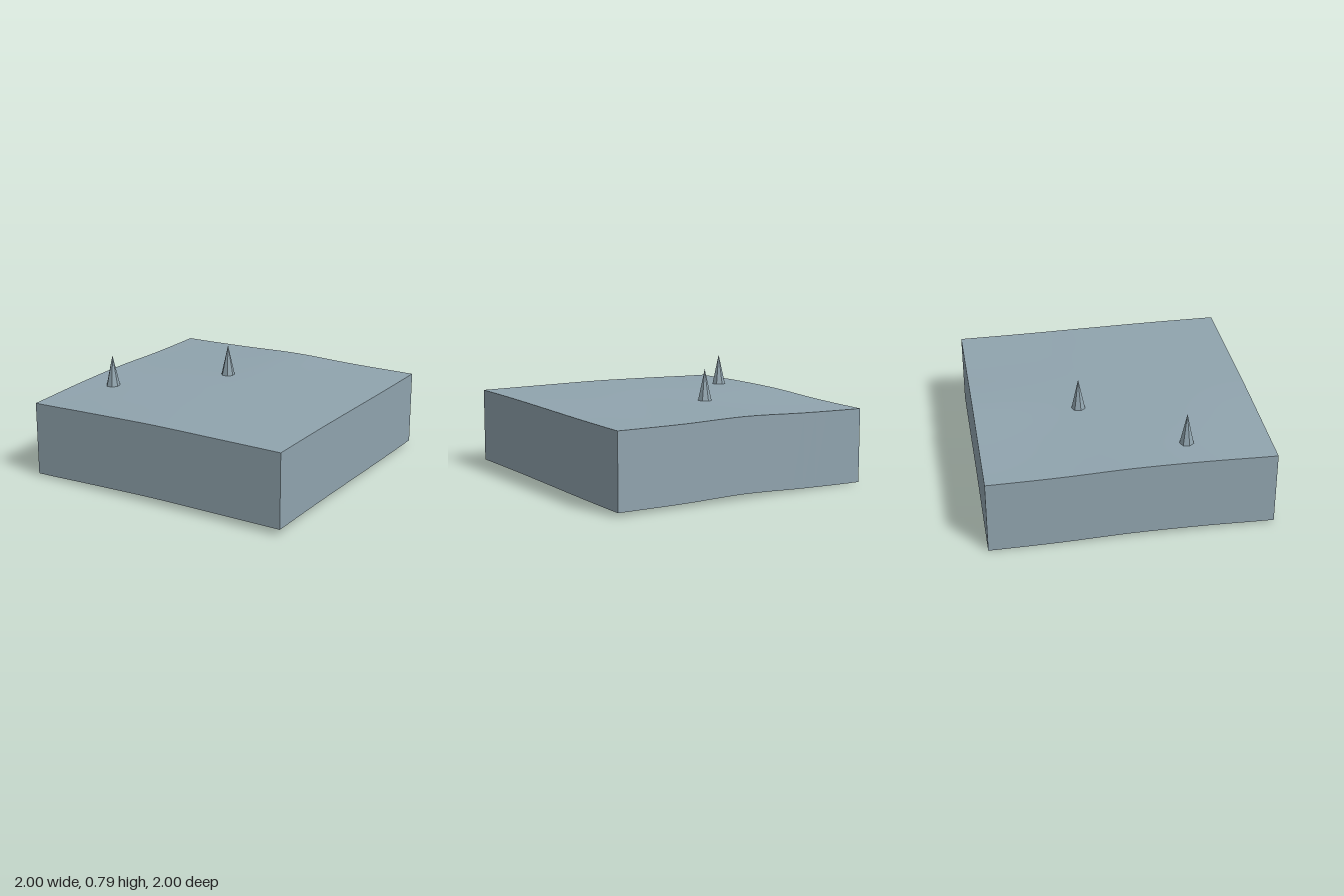
import * as THREE from 'three';

const SEG = 20;
const WALL = 0.535;

// Height of the lower rim on a 5 x 5 grid: rows run back to front, columns from -x to +x
const RIM = [
  [0.002, 0.014, 0.033, 0.026, 0.028],
  [0.009, 0.020, 0.033, 0.031, 0.031],
  [0.027, 0.033, 0.037, 0.038, 0.038],
  [0.028, 0.037, 0.043, 0.043, 0.044],
  [0.018, 0.032, 0.044, 0.045, 0.045],
];

// Smooth curve through five evenly spaced heights, t from -1 to 1
function curveAt(v, t) {
  const p = THREE.MathUtils.clamp((t + 1) * 2, 0, 4);
  const i = Math.min(3, Math.floor(p));
  const f = p - i;
  const a = v[i], b = v[i + 1];
  const ma = (b - (v[i - 1] ?? a)) / 2;
  const mb = ((v[i + 2] ?? b) - a) / 2;
  const f2 = f * f, f3 = f2 * f;
  return a * (2 * f3 - 3 * f2 + 1) + ma * (f3 - 2 * f2 + f) + b * (3 * f2 - 2 * f3) + mb * (f3 - f2);
}

const rimHeight = (x, z) => curveAt(RIM.map((row) => curveAt(row, x)), z);
const groundHeight = (x, z) => rimHeight(x, z) + WALL;

export function createModel() {
  const group = new THREE.Group();
  const slate = new THREE.MeshStandardMaterial({ color: 0x90a4ae, side: THREE.DoubleSide });
  slate.name = 'slate blue';
  const slateFaceted = slate; // flat facets come from split normals

  const add = (name, geometry, material = slate) => {
    const mesh = new THREE.Mesh(geometry, material);
    mesh.name = name;
    group.add(mesh);
    return mesh;
  };

  // Gently rolling ground sheet
  const ground = new THREE.PlaneGeometry(2, 2, SEG, SEG).rotateX(-Math.PI / 2);
  const gp = ground.attributes.position;
  for (let i = 0; i < gp.count; i++) gp.setY(i, groundHeight(gp.getX(i), gp.getZ(i)));
  ground.computeVertexNormals();
  add('ground', ground);

  // Four side walls follow the ground; the underside stays open
  ['frontWall', 'leftWall', 'backWall', 'rightWall'].forEach((name, k) => {
    const wall = new THREE.PlaneGeometry(2, 1, SEG, 1).translate(0, 0, 1).rotateY((k * Math.PI) / 2);
    const p = wall.attributes.position;
    for (let i = 0; i < p.count; i++) {
      p.setY(i, rimHeight(p.getX(i), p.getZ(i)) + (p.getY(i) > 0 ? WALL : 0));
    }
    wall.computeVertexNormals();
    add(name, wall);
  });

  // Two seven-sided spikes
  const tip = 0.795;
  [[-0.17, -0.25], [-0.75, 0.415]].forEach(([x, z], i) => {
    const base = groundHeight(x, z) - 0.001;
    const spike = new THREE.ConeGeometry(0.051, tip - base, 7, 1, true)
      .rotateY(Math.PI)
      .toNonIndexed();
    spike.computeVertexNormals();
    add(`spike${i + 1}`, spike, slateFaceted).position.set(x, (tip + base) / 2, z);
  });

  return group;
}
